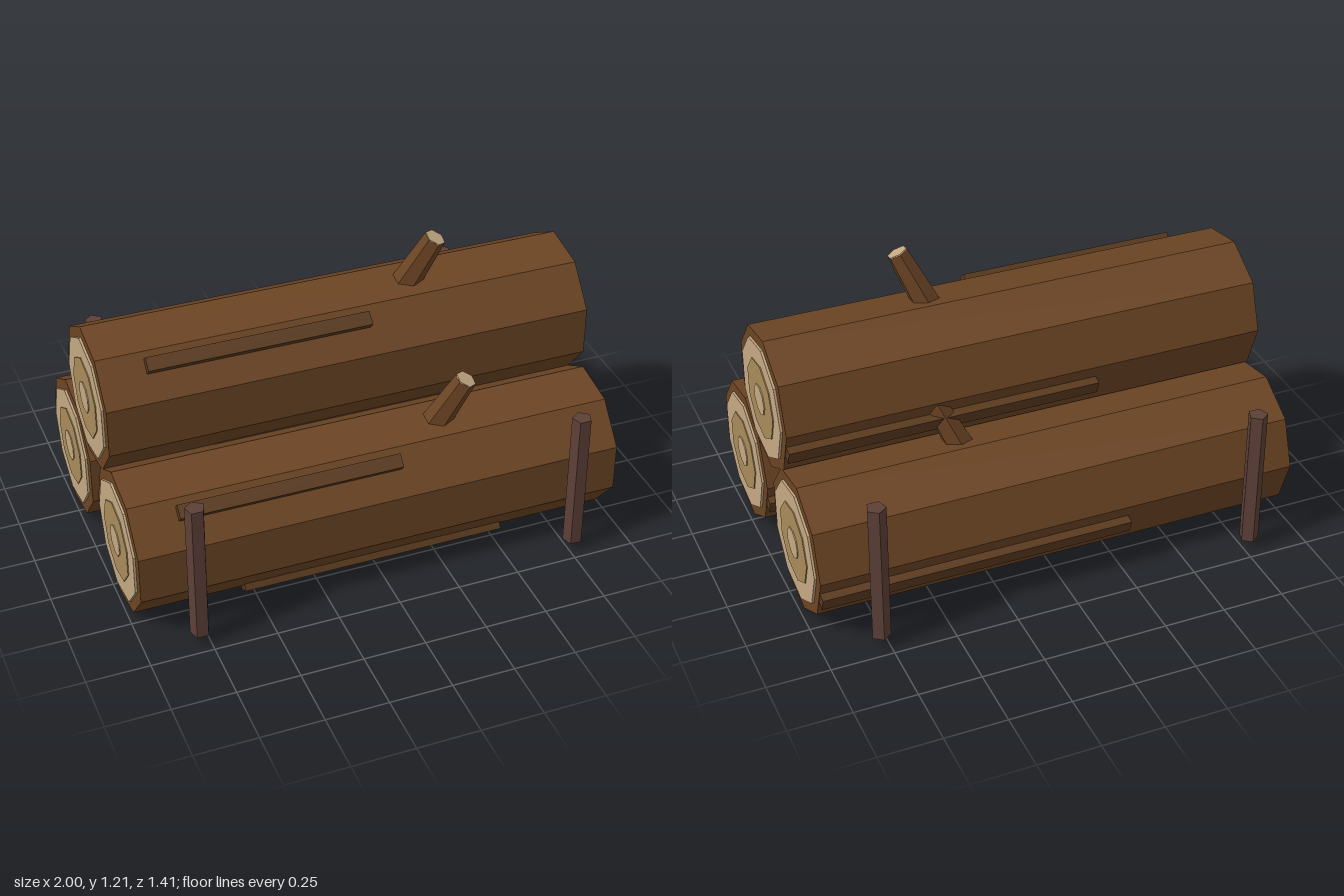
import * as THREE from 'three';

const mat = (color) => new THREE.MeshStandardMaterial({ color, flatShading: true });

export function createModel() {
  const root = new THREE.Group();
  root.name = 'logPile';
  const bark = mat(0x6b4423);
  const darkBark = mat(0x5a3a1e);
  const paleWood = mat(0xc4a882);
  const ringWood = mat(0xa88b5a);
  const postWood = mat(0x5d4037);

  const add = (parent, name, geometry, material, x = 0, y = 0, z = 0) => {
    const mesh = new THREE.Mesh(geometry, material);
    mesh.name = name;
    mesh.position.set(x, y, z);
    parent.add(mesh);
    return mesh;
  };

  // Nine-sided cylinder lying along x, with a corner towards the back
  const lying = (radius, length) =>
    new THREE.CylinderGeometry(radius, radius, length, 9, 1, false, Math.PI).rotateZ(Math.PI / 2);

  // Raised bark strips: angle from the back, start x, end x
  const strips = [
    [2.3, -0.8, 0.09],
    [4.2, -0.54, 0.54],
    [-0.3, -0.28, 0.98],
  ];

  // Branch stub axis, relative to the log centre
  const stubBase = new THREE.Vector3(0.282, 0.2, 0.021);
  const stubTip = new THREE.Vector3(0.394, 0.455, 0.095);

  function createLog(name, y, z) {
    const log = new THREE.Group();
    log.name = name;
    log.position.set(-0.003, y, z);
    add(log, 'trunk', lying(0.287, 1.964), bark);

    // Cut ends: three nested growth rings, each a little prouder
    for (const side of [-1, 1]) {
      add(log, 'cutFace', lying(0.243, 0.02), paleWood, side * 0.981);
      add(log, 'growthRing', lying(0.162, 0.02), ringWood, side * 0.985);
      add(log, 'heartwood', lying(0.063, 0.02), paleWood, side * 0.989);
    }

    // Bark strips lying along the trunk
    for (const [a, x0, x1] of strips) {
      const r = 0.285;
      const strip = add(log, 'barkStrip', new THREE.BoxGeometry(x1 - x0, 0.055, 0.042), darkBark,
        (x0 + x1) / 2, r * Math.sin(a), -r * Math.cos(a));
      strip.rotation.x = a;
    }

    // Branch stub with a pale cut tip
    const axis = stubTip.clone().sub(stubBase);
    const length = axis.length();
    const stub = new THREE.Group();
    stub.name = 'branchStub';
    stub.position.copy(stubBase);
    stub.quaternion.setFromUnitVectors(new THREE.Vector3(0, 1, 0), axis.normalize());
    add(stub, 'branch', new THREE.CylinderGeometry(0.043, 0.06, length, 6), bark, 0, length / 2);
    add(stub, 'branchTip', new THREE.CylinderGeometry(0.042, 0.042, 0.008, 6), paleWood, 0, length);
    log.add(stub);
    root.add(log);
  }

  createLog('frontLog', 0.283, 0.335);
  createLog('backLog', 0.283, -0.32);
  createLog('topLog', 0.731, 0.008);

  // Upright five-sided posts at the corners
  for (const x of [-0.781, 0.774]) {
    for (const z of [-0.668, 0.674]) {
      add(root, 'post', new THREE.CylinderGeometry(0.039, 0.039, 0.588, 5, 1, false, Math.PI),
        postWood, x, 0.329, z);
    }
  }
  return root;
}
